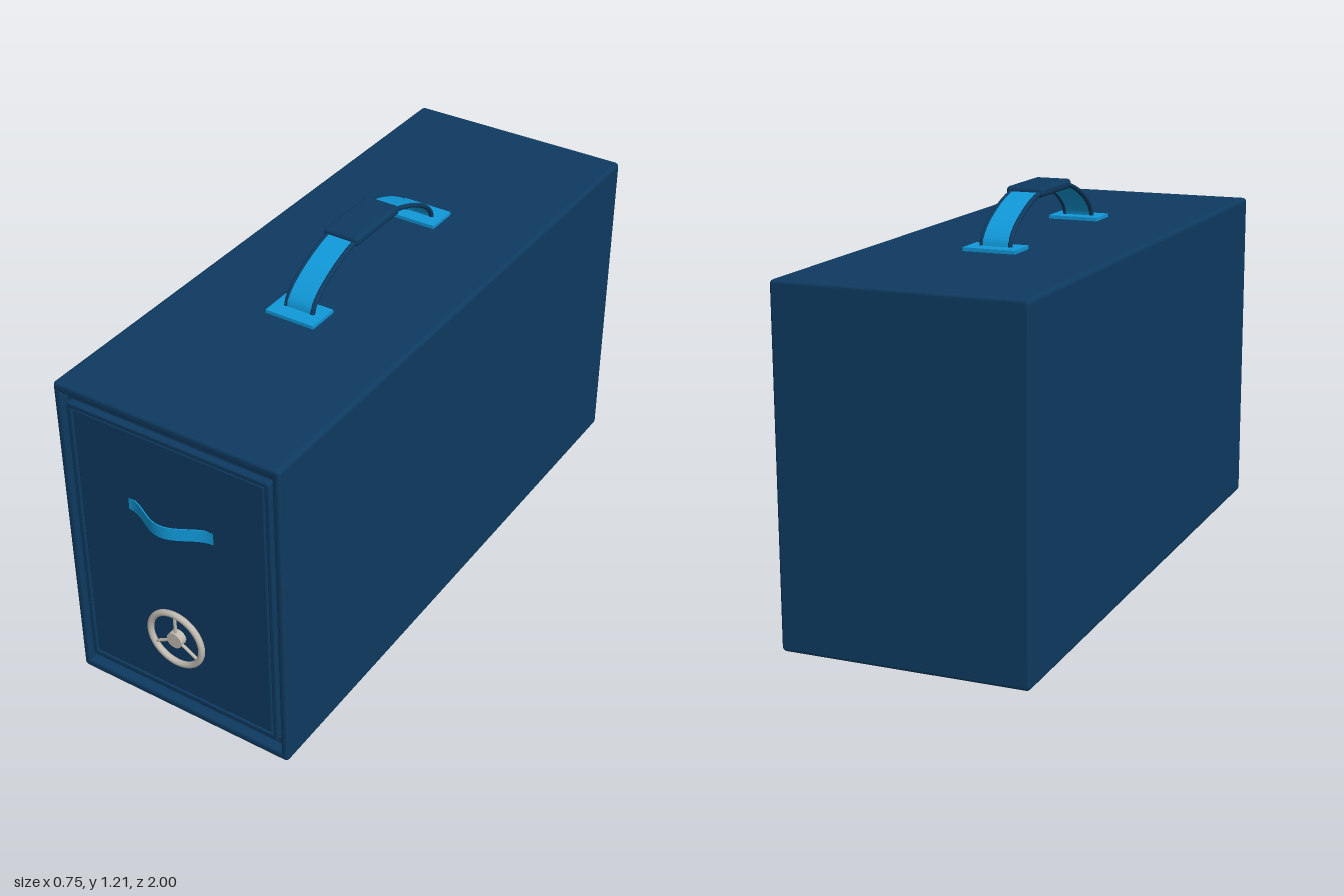
import * as THREE from 'three';
import { RoundedBoxGeometry } from 'three/addons/geometries/RoundedBoxGeometry.js';

const material = (name, color, side = THREE.FrontSide) => {
  const m = new THREE.MeshStandardMaterial({ color, side });
  m.name = name;
  return m;
};

// Rounded rectangle path, centred on x, from y0 to y1
function roundedRect(path, halfWidth, y0, y1, r) {
  const w = halfWidth;
  path.moveTo(-w + r, y0);
  path.lineTo(w - r, y0);
  path.quadraticCurveTo(w, y0, w, y0 + r);
  path.lineTo(w, y1 - r);
  path.quadraticCurveTo(w, y1, w - r, y1);
  path.lineTo(-w + r, y1);
  path.quadraticCurveTo(-w, y1, -w, y1 - r);
  path.lineTo(-w, y0 + r);
  path.quadraticCurveTo(-w, y0, -w + r, y0);
  return path;
}

// Bevelled rectangular frame between z0 and z1; bevel stays inside the given sizes
function frameGeometry(outer, inner, z0, z1, bevel) {
  const shape = roundedRect(new THREE.Shape(), outer[0] - bevel, outer[1] + bevel, outer[2] - bevel, 0.004);
  shape.holes.push(roundedRect(new THREE.Path(), inner[0] + bevel, inner[1] - bevel, inner[2] + bevel, 0.004));
  const geometry = new THREE.ExtrudeGeometry(shape, {
    depth: z1 - z0 - 2 * bevel, bevelEnabled: true, bevelThickness: bevel,
    bevelSize: bevel, bevelSegments: 4, curveSegments: 4,
  });
  return geometry.translate(0, 0, z0 + bevel);
}

export function createModel() {
  const model = new THREE.Group();
  model.name = 'case';
  const navy = material('navy', 0x0e3a60);
  const blue = material('bright blue', 0x1098d8);
  const metal = material('pale metal', 0xc0bab0);
  const add = (name, geometry, mat, x = 0, y = 0, z = 0, parent = model) => {
    const mesh = new THREE.Mesh(geometry, mat);
    mesh.name = name;
    mesh.position.set(x, y, z);
    parent.add(mesh);
    return mesh;
  };
  const box = (w, h, d) => new THREE.BoxGeometry(w, h, d);

  // Shell, open at the front, with its back panel and inner bulkhead
  add('shell', frameGeometry([0.375, 0, 1.055], [0.35, 0.03, 1.025], -1, 0.955, 0.01), navy);
  add('backPanel', box(0.726, 1.03, 0.03), navy, 0, 0.5275, -0.985);
  add('bulkhead', box(0.704, 1.0, 0.02), navy, 0, 0.5275, 0.915);

  // Door: raised rim around a flat panel
  add('doorRim', frameGeometry([0.338, 0.065, 0.997], [0.322, 0.081, 0.981], 0.926, 0.95, 0.004), navy);
  add('doorPanel', new RoundedBoxGeometry(0.636, 0.896, 0.022, 3, 0.004), navy, 0, 0.531, 0.937);

  // Pale edging showing around the foot of the door
  add('bottomEdging', box(0.66, 0.008, 0.012), metal, 0, 0.059, 0.931);
  for (const s of [-1, 1]) add('sideEdging', box(0.004, 0.115, 0.012), metal, s * 0.344, 0.12, 0.931);

  // Bowed pull on the door
  const pullPoints = [];
  for (let i = 0; i <= 32; i++) {
    const t = i / 16 - 1;
    pullPoints.push(new THREE.Vector2(t * 0.145, 0.948 + 0.026 * (1 + Math.cos(Math.PI * t))));
  }
  const pullShape = new THREE.Shape([
    ...pullPoints,
    ...pullPoints.slice().reverse().map((p) => new THREE.Vector2(p.x, p.y - 0.004)),
  ]);
  const pull = new THREE.ExtrudeGeometry(pullShape, { depth: 0.04, bevelEnabled: false });
  pull.rotateX(Math.PI / 2);
  add('doorPull', pull, blue, 0, 0.745, 0);

  // Wheel lock: ring, hub and three spokes
  const wheel = new THREE.Group();
  wheel.name = 'wheel';
  wheel.position.set(0, 0.3, 0.963);
  model.add(wheel);
  add('wheelRing', new THREE.TorusGeometry(0.091, 0.01, 12, 48), metal, 0, 0, 0, wheel);
  add('wheelHub', new THREE.CylinderGeometry(0.026, 0.026, 0.024, 24).rotateX(Math.PI / 2), metal, 0, 0, -0.002, wheel);
  for (let i = 0; i < 3; i++) {
    const a = (i * Math.PI * 2) / 3;
    const spoke = add('wheelSpoke', new THREE.CylinderGeometry(0.005, 0.005, 0.075, 10), metal,
      -Math.sin(a) * 0.053, Math.cos(a) * 0.053, 0, wheel);
    spoke.rotation.z = a;
  }

  // Carrying handle, symmetrical about its own middle
  const handle = new THREE.Group();
  handle.name = 'carryingHandle';
  handle.position.set(0, 0, -0.022);
  model.add(handle);
  const half = [[0.332, 1.058], [0.325, 1.083], [0.295, 1.115], [0.24, 1.148], [0.17, 1.177], [0.1, 1.194]];
  const profile = [...half, [0, 1.198], ...half.slice().reverse().map(([z, y]) => [-z, y])];
  const arc = new THREE.CatmullRomCurve3(profile.map(([z, y]) => new THREE.Vector3(0, y, z)));
  const arcPoints = arc.getPoints(48);
  const strapOutline = [1, -1].flatMap((s) => {
    const side = arcPoints.map((p, i) => {
      const t = arc.getTangent(i / 48);
      return new THREE.Vector2(-p.z + s * 0.005 * t.y, p.y + s * 0.005 * t.z);
    });
    return s > 0 ? side : side.reverse();
  });
  const strap = new THREE.ExtrudeGeometry(new THREE.Shape(strapOutline), { depth: 0.09, bevelEnabled: false });
  strap.translate(0, 0, -0.045).rotateY(Math.PI / 2);
  add('strap', strap, blue, 0, 0, 0, handle);
  for (const s of [-1, 1]) {
    add('strapPiping', new THREE.TubeGeometry(arc, 48, 0.0075, 8), navy, s * 0.045, 0, 0, handle);
    add('strapPlate', box(0.164, 0.012, 0.104), blue, 0, 1.06, s * 0.332, handle);
  }
  add('grip', new RoundedBoxGeometry(0.12, 0.03, 0.235, 4, 0.012), navy, 0, 1.196, 0, handle);
  return model;
}
